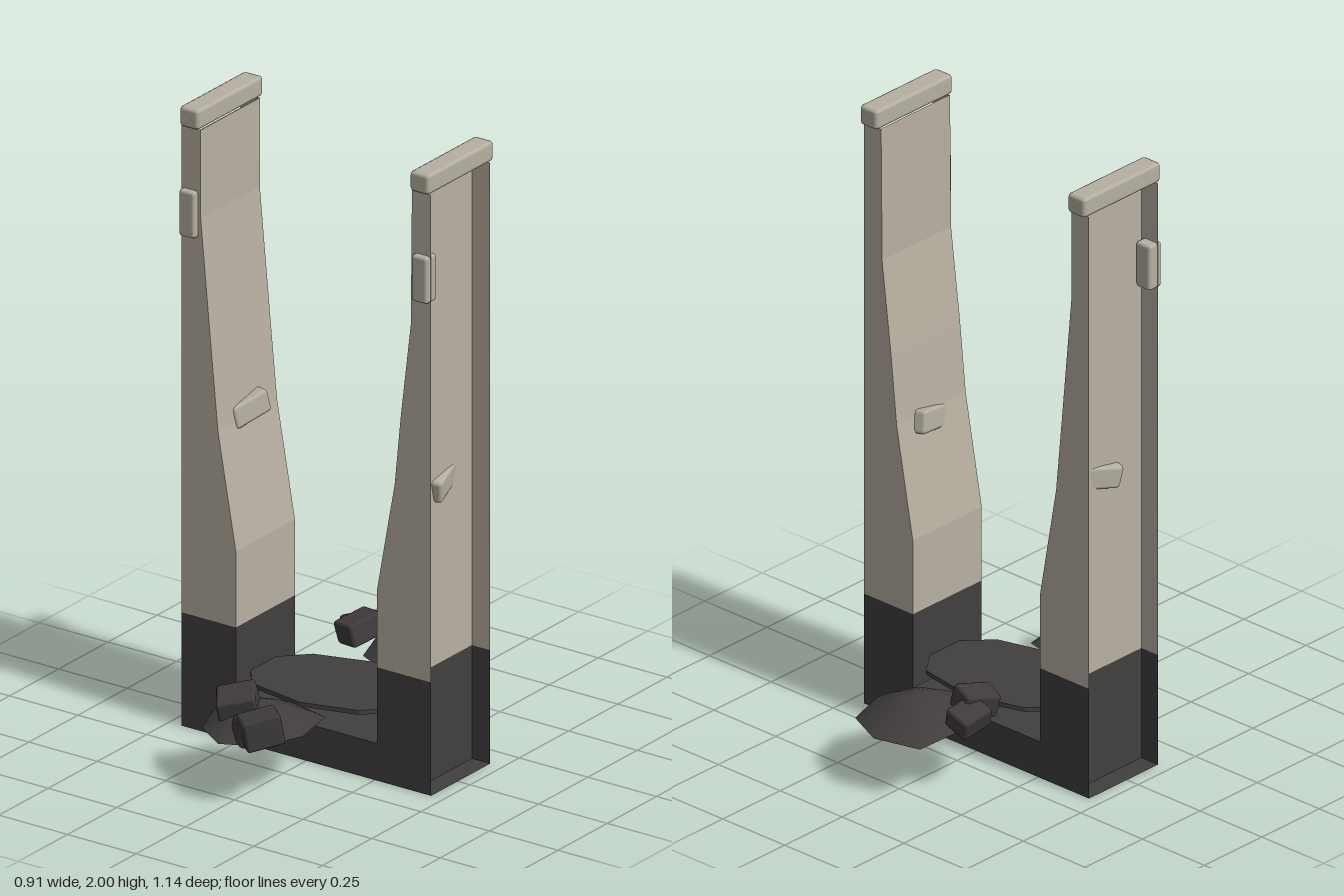
import * as THREE from 'three';
import { RoundedBoxGeometry } from 'three/addons/geometries/RoundedBoxGeometry.js';

const FRONT = 0.135, BACK = -0.165, SPLIT = 0.365, TOP = 1.935;

export function createModel() {
  const group = new THREE.Group();
  const mat = (name, color) => {
    const m = new THREE.MeshStandardMaterial({ color, side: THREE.DoubleSide });
    m.name = name;
    return m;
  };
  const plaster = mat('pale plaster', 0xb9b0a2);
  const base = mat('dark base', 0x423f3f);
  const trim = mat('pale stone', 0xb5b0a2);
  const rubble = mat('dark rubble', 0x3f3c3b);

  const add = (name, geo, material, pos = [0, 0, 0], rot = [0, 0, 0]) => {
    const m = new THREE.Mesh(geo, material);
    m.name = name;
    m.position.set(...pos);
    m.rotation.set(...rot);
    group.add(m);
    return m;
  };

  // Flat outline in the xy plane
  const plate = (pts) => new THREE.ShapeGeometry(new THREE.Shape(pts.map(p => new THREE.Vector2(...p))));

  // Faceted strip running from front to back along a profile
  const strip = (pts) => {
    const v = [];
    for (let i = 0; i < pts.length - 1; i++) {
      const [ax, ay] = pts[i], [bx, by] = pts[i + 1];
      v.push(ax, ay, FRONT, ax, ay, BACK, bx, by, BACK, ax, ay, FRONT, bx, by, BACK, bx, by, FRONT);
    }
    const g = new THREE.BufferGeometry();
    g.setAttribute('position', new THREE.Float32BufferAttribute(v, 3));
    g.computeVertexNormals();
    return g;
  };

  // Smooth low heap over an irregular outline (x, z)
  const mound = (outline, cx, cz, y0, h) => {
    const v = [], idx = [], n = outline.length, rings = [1, 0.8, 0.55, 0.3];
    for (const t of rings)
      for (const [x, z] of outline) v.push(cx + (x - cx) * t, y0 + h * (1 - t ** 1.7), cz + (z - cz) * t);
    v.push(cx, y0 + h, cz);
    for (let r = 0; r < rings.length; r++)
      for (let i = 0; i < n; i++) {
        const j = (i + 1) % n, a = r * n + i, b = r * n + j;
        if (r === rings.length - 1) idx.push(a, rings.length * n, b);
        else idx.push(a, a + n, b, b, a + n, b + n);
      }
    // outlines run clockwise seen from above, so reverse to face up
    for (let i = 0; i < idx.length; i += 3) [idx[i + 1], idx[i + 2]] = [idx[i + 2], idx[i + 1]];
    const g = new THREE.BufferGeometry();
    g.setAttribute('position', new THREE.Float32BufferAttribute(v, 3));
    g.setIndex(idx);
    g.computeVertexNormals();
    return g;
  };

  // Dark U-shaped base: front, back, inner channel and underside
  const baseOutline = [[-0.455, 0], [0.455, 0], [0.455, SPLIT], [0.257, SPLIT], [0.257, 0.12],
    [-0.257, 0.12], [-0.257, SPLIT], [-0.455, SPLIT]];
  add('baseFront', plate(baseOutline), base, [0, 0, FRONT]);
  add('baseBack', plate(baseOutline), base, [0, 0, BACK]);
  add('baseChannel', strip([[0.257, SPLIT], [0.257, 0.12], [-0.257, 0.12], [-0.257, SPLIT]]), base);
  add('baseUnderside', strip([[-0.455, 0], [0.455, 0]]), base);

  // Two pillars with curved inner walls and recessed outer sides
  for (const s of [1, -1]) {
    const side = s > 0 ? 'left' : 'right';
    const bend = s > 0 ? [[0.322, 0.97], [0.345, 1.2], [0.381, 1.5]] : [[0.322, 0.98], [0.345, 1.22], [0.385, 1.65]];
    const inner = [[0.257, SPLIT], [0.257, 0.61], ...bend, [0.385, TOP]].map(([x, y]) => [s * x, y]);
    const outline = [...inner, [s * 0.455, TOP], [s * 0.455, SPLIT]];
    add(side + 'PillarFront', plate(outline), plaster, [0, 0, FRONT]);
    add(side + 'PillarBack', plate(outline), plaster, [0, 0, BACK]);
    add(side + 'PillarInnerWall', strip(inner), plaster);
    add(side + 'RecessUpper', strip([[s * 0.388, SPLIT], [s * 0.388, TOP]]), plaster);
    add(side + 'RecessLower', strip([[s * 0.388, 0], [s * 0.388, SPLIT]]), base);

    // Cap stone, front edge stone and the chip jutting through the wall
    add(side + 'Cap', new RoundedBoxGeometry(0.07, 0.065, 0.335, 1, 0.012), trim, [s * 0.42, 1.9675, -0.018]);
    add(side + 'EdgeStone', new RoundedBoxGeometry(0.058, 0.15, 0.055, 1, 0.01), trim, [s * 0.424, 1.66, 0.128]);
    add(side + 'WallChip', new RoundedBoxGeometry(0.1, 0.075, 0.14, 1, 0.012), trim,
      [s * 0.35, s > 0 ? 0.94 : 1.0, -0.027], [0.22, s * 0.24, s * -0.12]);
  }

  // Thin irregular slab lying between the pillars
  const slabOutline = [[-0.257, -0.07], [-0.18, -0.15], [0, -0.205], [0.2, -0.17], [0.257, -0.09],
    [0.257, 0.04], [0.18, 0.12], [0, 0.17], [-0.2, 0.135], [-0.257, 0.06]];
  const slab = new THREE.ExtrudeGeometry(
    new THREE.Shape(slabOutline.map(([x, z]) => new THREE.Vector2(x, -z))), { depth: 0.014, bevelEnabled: false });
  slab.rotateX(-Math.PI / 2);
  add('groundSlab', slab, base, [0, 0.187, 0]);

  // Heaps before and behind the slab
  add('frontHeap', mound([[0, 0.165], [0.11, 0.19], [0.14, 0.35], [0.09, 0.48], [-0.03, 0.54],
    [-0.14, 0.47], [-0.195, 0.33], [-0.14, 0.22]], -0.03, 0.36, 0.187, 0.075), rubble);
  add('backHeap', mound([[0.03, -0.58], [0.16, -0.52], [0.205, -0.38], [0.155, -0.25], [0.05, -0.195],
    [-0.07, -0.25], [-0.125, -0.4], [-0.12, -0.54]], 0.04, -0.38, 0.187, 0.07), rubble);

  // Broken blocks: size, position, rotation
  const blocks = [
    [[0.12, 0.08, 0.12], [-0.07, 0.255, 0.385], [0.2, 0.6, 0.1]],
    [[0.09, 0.1, 0.12], [0.085, 0.245, 0.485], [0.25, -0.7, 0.15]],
    [[0.1, 0.07, 0.1], [0.035, 0.215, 0.46], [-0.15, -0.6, -0.15]],
    [[0.09, 0.075, 0.12], [-0.112, 0.255, -0.29], [0.2, -0.3, 0.2]],
    [[0.09, 0.07, 0.11], [-0.145, 0.235, -0.355], [-0.2, -0.1, 0.3]],
  ];
  blocks.forEach(([size, pos, rot], i) =>
    add('rubbleBlock' + (i + 1), new RoundedBoxGeometry(...size, 1, 0.01), rubble, pos, rot));

  return group;
}
